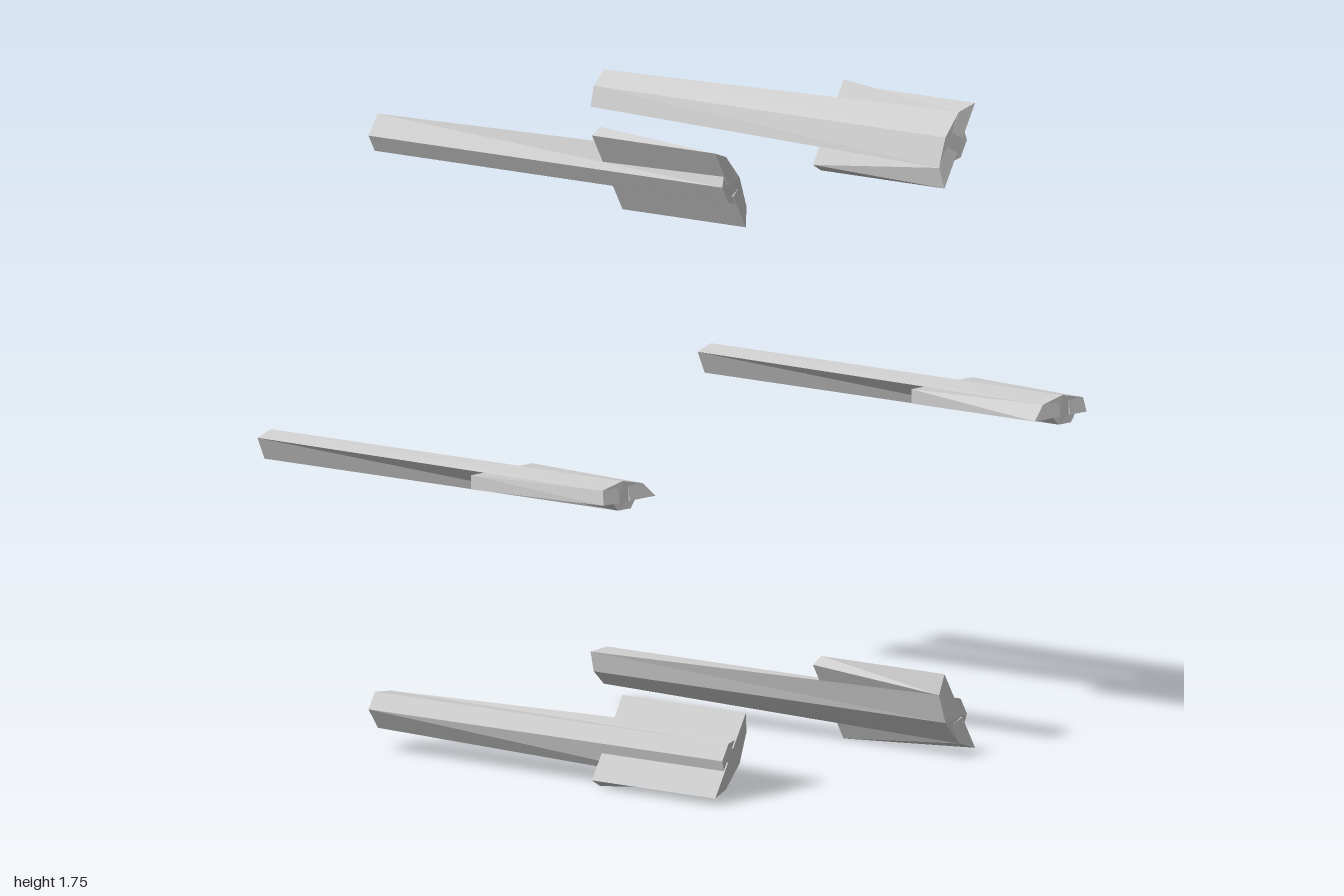
import * as THREE from 'three';

const material = new THREE.MeshStandardMaterial({ color: 0xcccccc, flatShading: true });

// Closed solid between two matching outlines, [x, y, z] points counterclockwise seen from +z
function loft(back, front) {
  const pos = [];
  const n = back.length;
  const tri = (a, b, c) => pos.push(...a, ...b, ...c);
  for (let i = 0; i < n; i++) {
    const j = (i + 1) % n;
    tri(back[i], back[j], front[j]);
    tri(back[i], front[j], front[i]);
  }
  for (let i = 1; i < n - 1; i++) {
    tri(front[0], front[i], front[i + 1]);
    tri(back[0], back[i + 1], back[i]);
  }
  const geometry = new THREE.BufferGeometry();
  geometry.setAttribute('position', new THREE.Float32BufferAttribute(pos, 3));
  geometry.computeVertexNormals();
  return geometry;
}

function addMesh(group, geometry, name) {
  const mesh = new THREE.Mesh(geometry, material);
  mesh.name = name;
  group.add(mesh);
}

// Five-sided barrel section: flat belly, wide shoulders, low ridge
const barrelSection = (w, zLow, zHigh) => [
  [-0.025, -0.042, zLow], [0.025, -0.042, zLow],
  [w, 0.017, zHigh], [0, 0.033, zHigh], [-w, 0.017, zHigh],
];

// Fin section reaching sideways from inside the barrel
function finSection(side, lowTip, highTip, zLow, zHigh) {
  const pts = [
    [side * 0.02, -0.021, zLow], [side * lowTip, -0.021, zLow],
    [side * highTip, 0.017, zHigh], [side * 0.02, 0.017, zHigh],
  ];
  return side > 0 ? pts : pts.reverse();
}

// taperSide: the side whose fin narrows along its lower edge as well (0 for none)
function makePod(taperSide) {
  const pod = new THREE.Group();
  addMesh(pod, loft(barrelSection(0.053, -0.615, -0.615), barrelSection(0.08, 0.61, 0.603)), 'barrel');
  for (const side of [-1, 1]) {
    const lowFront = side === taperSide ? 0.085 : 0.122;
    addMesh(pod, loft(
      finSection(side, 0.122, 0.122, 0.185, 0.185),
      finSection(side, lowFront, 0.08, 0.612, 0.604),
    ), side > 0 ? 'finA' : 'finB');
  }
  return pod;
}

export function createModel() {
  const model = new THREE.Group();
  model.name = 'podRing';
  // [name, position angle, roll angle, tapered side]
  const pods = [
    ['leftPod', 0, 0, 1],
    ['rightPod', 180, 0, -1],
    ['upperLeftPod', 60, 60, 0],
    ['upperRightPod', 120, 300, 0],
    ['lowerLeftPod', 300, 120, 0],
    ['lowerRightPod', 240, 240, 0],
  ];
  const radius = 0.878;
  for (const [name, angle, roll, taperSide] of pods) {
    const pod = makePod(taperSide);
    const a = THREE.MathUtils.degToRad(angle);
    pod.name = name;
    pod.position.set(radius * Math.cos(a), 0.88 + radius * Math.sin(a), 0);
    pod.rotation.z = THREE.MathUtils.degToRad(roll);
    model.add(pod);
  }
  return model;
}
